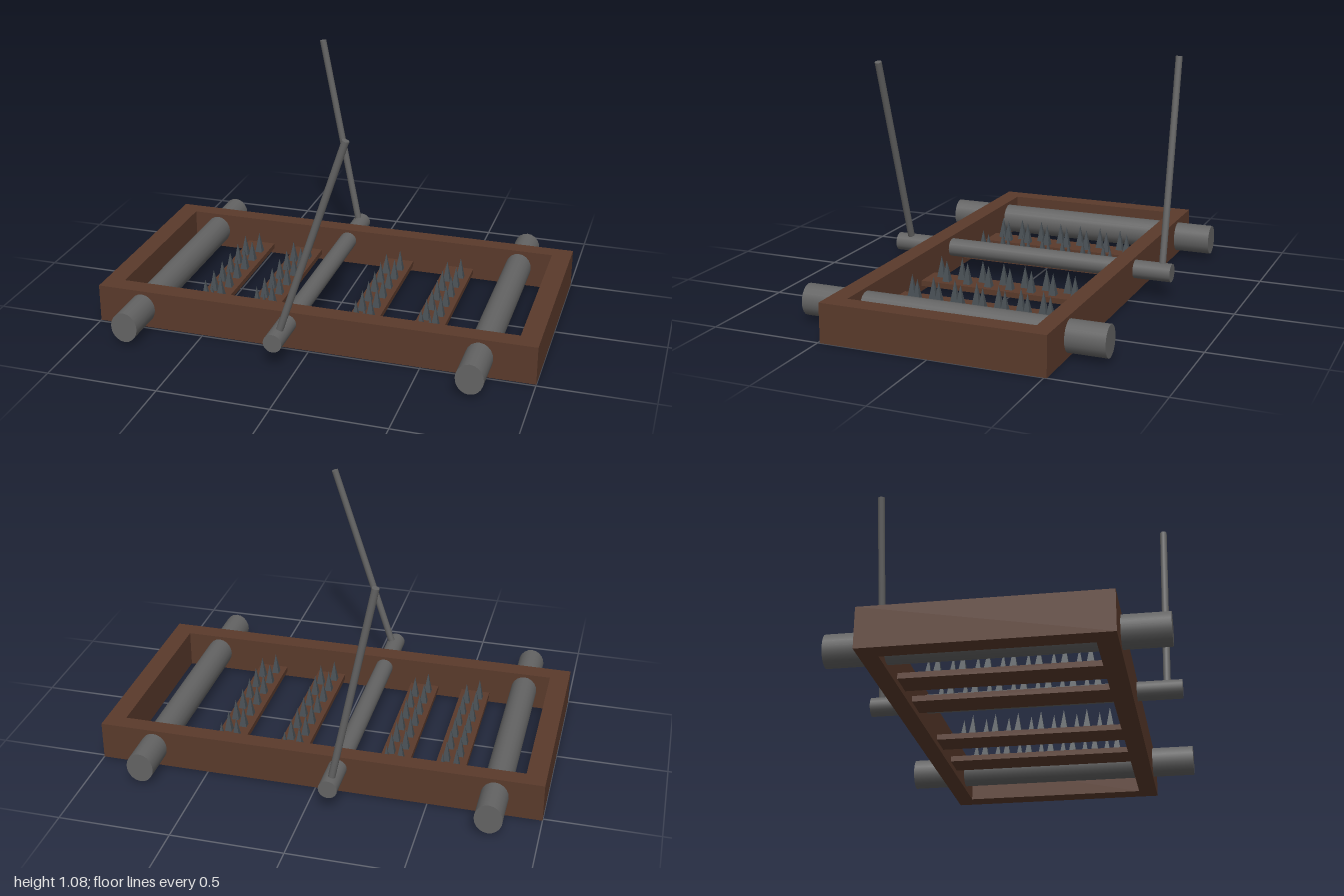
import * as THREE from 'three';

export function createModel() {
  const model = new THREE.Group();
  const wood = new THREE.MeshStandardMaterial({ color: 0x5a3a2b });
  wood.name = 'brown wood';
  const iron = new THREE.MeshStandardMaterial({ color: 0x636363 });
  iron.name = 'grey iron';
  const darkIron = new THREE.MeshStandardMaterial({ color: 0x474e53 });
  darkIron.name = 'dark iron';

  function add(name, geometry, material, parent = model) {
    const mesh = new THREE.Mesh(geometry, material);
    mesh.name = name;
    parent.add(mesh);
    return mesh;
  }

  // Rectangular wooden frame, open at top and bottom
  const rect = (path, x, y0, y1) => path.moveTo(-x, y0).lineTo(x, y0).lineTo(x, y1).lineTo(-x, y1).closePath();
  const outline = rect(new THREE.Shape(), 1, -0.49, 0.512);
  outline.holes.push(rect(new THREE.Path(), 0.911, -0.405, 0.435));
  const frame = new THREE.ExtrudeGeometry(outline, { depth: 0.175, bevelEnabled: false });
  frame.rotateX(-Math.PI / 2);
  add('frame', frame, wood);

  // Rollers running through the frame from front to back
  function roller(name, x, y, rx, ry) {
    const geometry = new THREE.CylinderGeometry(1, 1, 1.37, 20);
    geometry.rotateX(Math.PI / 2);
    geometry.scale(rx, ry, 1);
    add(name, geometry, iron).position.set(x, y, 0);
  }
  roller('rightRoller', -0.79, 0.09, 0.061, 0.07);
  roller('leftRoller', 0.753, 0.09, 0.061, 0.07);
  roller('middleRoller', -0.1, 0.12, 0.042, 0.042);

  // Levers rising from the ends of the middle roller
  function lever(name, tipX, tipY, z) {
    const base = new THREE.Vector3(-0.1, 0.12, z);
    const tip = new THREE.Vector3(tipX, tipY, z);
    const dir = tip.clone().sub(base);
    const mesh = add(name, new THREE.CylinderGeometry(0.016, 0.016, dir.length(), 12), iron);
    mesh.position.copy(base).lerp(tip, 0.5);
    mesh.quaternion.setFromUnitVectors(new THREE.Vector3(0, 1, 0), dir.normalize());
  }
  lever('frontLever', 0.205, 1.045, 0.618);
  lever('backLever', -0.29, 1.075, -0.638);

  // Slats, each with two staggered rows of spikes
  const spike = new THREE.ConeGeometry(0.024, 0.1, 4).toNonIndexed();
  spike.rotateY(Math.PI / 4);
  spike.computeVertexNormals();
  for (const x of [-0.557, -0.305, 0.167, 0.467]) {
    const slat = new THREE.Group();
    slat.name = 'spikedSlat';
    slat.position.set(x, 0, 0);
    model.add(slat);
    add('slat', new THREE.BoxGeometry(0.136, 0.025, 0.85), wood, slat).position.set(0, 0.038, -0.015);
    for (let i = 0; i < 14; i++) {
      const side = i % 2 ? -1 : 1;
      add('spike', spike, darkIron, slat).position.set(side * 0.027, 0.1, -0.33 + i * 0.052);
    }
  }
  return model;
}
